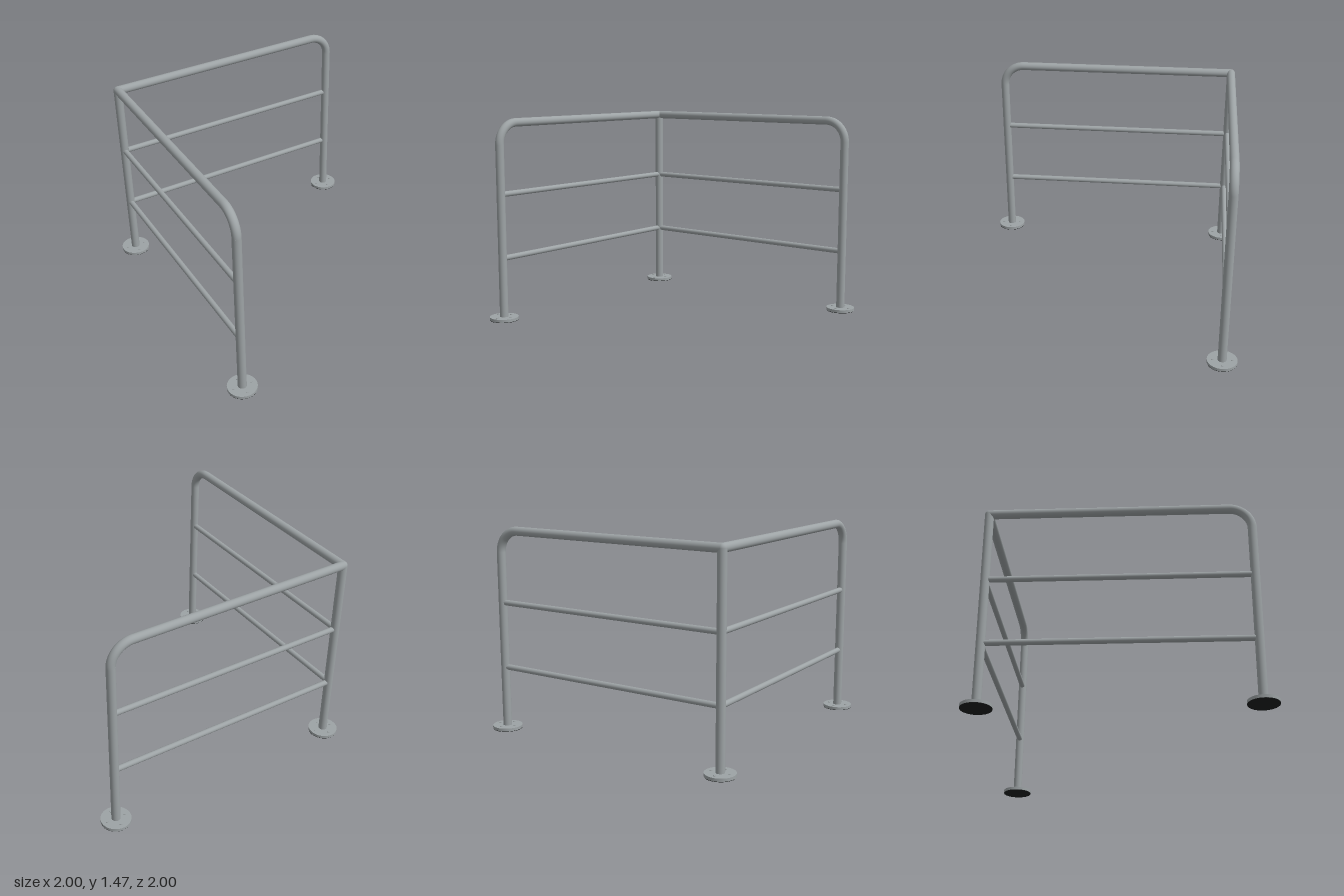
import * as THREE from 'three';

const SPAN = 1.79;      // distance between post centres
const TOP = 1.437;      // centre line of the top rail
const BEND = 0.155;     // centre line radius of the bent end
const PIPE = 0.031;
const ROD = 0.02;

export function createModel() {
  const steel = new THREE.MeshStandardMaterial({ color: 0x9da3a5 });
  steel.name = 'galvanised steel';
  const rubber = new THREE.MeshStandardMaterial({ color: 0x1c1e1e });
  rubber.name = 'black rubber';

  const add = (parent, name, geometry, x, y, z, material = steel) => {
    const mesh = new THREE.Mesh(geometry, material);
    mesh.name = name;
    mesh.position.set(x, y, z);
    parent.add(mesh);
    return mesh;
  };

  // Upright cylinder from y0 to y1
  const upright = (parent, name, r, x, y0, y1, z = 0, material = steel) =>
    add(parent, name, new THREE.CylinderGeometry(r, r, y1 - y0, 40), x, (y0 + y1) / 2, z, material);

  // Level cylinder along x from x0 to x1
  const level = (parent, name, r, x0, x1, y) => {
    const g = new THREE.CylinderGeometry(r, r, x1 - x0, 32).rotateZ(Math.PI / 2);
    return add(parent, name, g, (x0 + x1) / 2, y, 0);
  };

  // Round floor flange with four bolts and a thin pad underneath
  const addFlange = (parent, x) => {
    const flange = new THREE.Group();
    flange.name = 'floorFlange';
    flange.position.x = x;
    upright(flange, 'flangePlate', 0.105, 0, 0.003, 0.024);
    upright(flange, 'flangePad', 0.104, 0, 0, 0.003, 0, rubber);
    for (let i = 0; i < 4; i++) {
      const a = i * Math.PI / 2;
      upright(flange, 'flangeBolt', 0.009, 0.068 * Math.cos(a), 0.02, 0.028, 0.068 * Math.sin(a));
    }
    parent.add(flange);
  };

  // One run of railing, from the corner along +x to its bent end post
  const makeRun = (name) => {
    const run = new THREE.Group();
    run.name = name;
    level(run, 'topRail', PIPE, 0, SPAN - BEND, TOP);
    add(run, 'railBend', new THREE.TorusGeometry(BEND, PIPE, 32, 24, Math.PI / 2),
      SPAN - BEND, TOP - BEND, 0);
    upright(run, 'endPost', PIPE, SPAN, 0.02, TOP - BEND);
    for (const y of [0.457, 0.925]) level(run, 'midRail', ROD, 0, SPAN, y);
    addFlange(run, SPAN);
    return run;
  };

  const model = new THREE.Group();
  model.name = 'cornerGuardRail';
  const railing = new THREE.Group();
  railing.name = 'railing';
  railing.position.set(-SPAN / 2, 0, -SPAN / 2);
  model.add(railing);

  // Two matching runs at a right angle
  const sideRun = makeRun('sideRun');
  sideRun.rotation.y = -Math.PI / 2;
  railing.add(makeRun('backRun'), sideRun);

  // Shared corner post and rounded joint
  upright(railing, 'cornerPost', PIPE, 0, 0.02, TOP);
  add(railing, 'cornerJoint', new THREE.SphereGeometry(PIPE, 32, 20), 0, TOP, 0);
  addFlange(railing, 0);

  return model;
}
